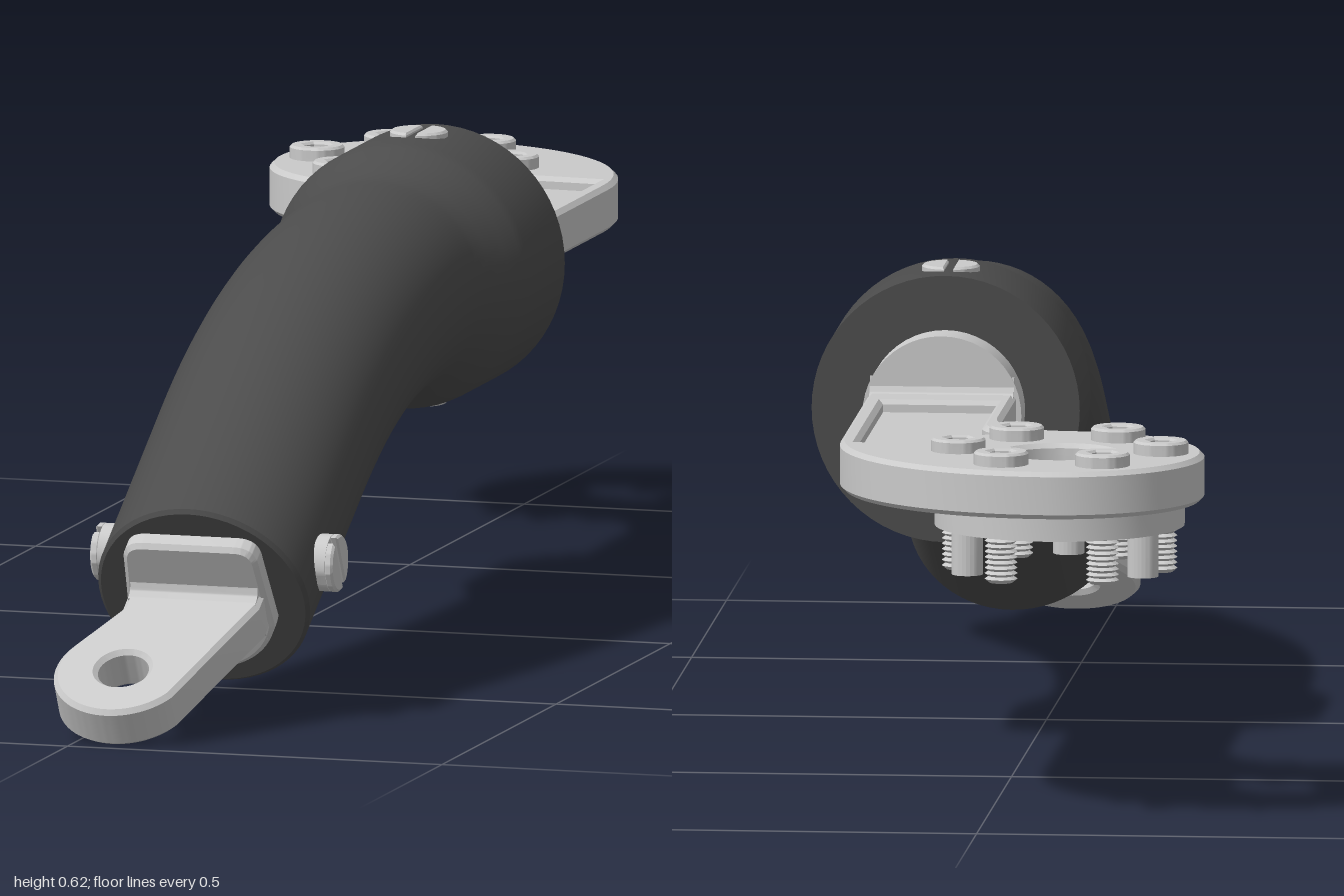
import * as THREE from 'three';
import { toCreasedNormals } from 'three/addons/utils/BufferGeometryUtils.js';

const AXIS_X = 0.105, AXIS_Y = 0.45;        // straight rear axis of the sleeve
const BEND_R = 0.989, BEND = Math.PI / 6;   // bend of the sleeve
const FLANGE = { x: -0.09, z: -0.815 };     // centre of the mounting disc

export function createModel() {
  const model = new THREE.Group();
  const rubber = new THREE.MeshStandardMaterial({ color: 0x4c4c4c });
  rubber.name = 'dark grey sleeve';
  const metal = new THREE.MeshStandardMaterial({ color: 0xcacaca });
  metal.name = 'light grey metal';

  const add = (parent, name, geo, mat = metal) => {
    const mesh = new THREE.Mesh(toCreasedNormals(geo, 0.5), mat);
    mesh.name = name;
    parent.add(mesh);
    return mesh;
  };
  const group = (parent, name) => {
    const g = new THREE.Group();
    g.name = name;
    parent.add(g);
    return g;
  };
  const extrude = (shape, depth, bevel = 0) => {
    const geo = new THREE.ExtrudeGeometry(shape, {
      depth: depth - 2 * bevel, bevelEnabled: bevel > 0, bevelSize: bevel,
      bevelThickness: bevel, bevelOffset: -bevel, bevelSegments: 1, curveSegments: 24,
    });
    return geo.translate(0, 0, bevel);
  };
  // Horizontal plate: shape (x, y) becomes (x, z), between y = low and y = high
  const plate = (shape, low, high, bevel = 0) =>
    extrude(shape, high - low, bevel).rotateX(Math.PI / 2).translate(0, high, 0);
  const circle = (x, y, r, Type = THREE.Path) => new Type().absarc(x, y, r, 0, Math.PI * 2, false);
  const polygon = (pts) => pts.map(([x, y]) => new THREE.Vector2(x, y));

  // Sleeve: a lathe along its length, then bent downward toward the front
  const arcLen = BEND_R * BEND, sleeveEnd = 0.813;
  const profile = [[0, -0.27], [0.172, -0.27], [0.172, -0.115], [0.168, -0.1], [0.158, -0.075],
    [0.146, -0.04], [0.141, -0.015]];
  for (let i = 0; i <= 20; i++) profile.push([0.14, arcLen * i / 20]);
  profile.push([0.14, sleeveEnd - 0.005], [0.135, sleeveEnd], [0, sleeveEnd]);
  const sleeve = new THREE.LatheGeometry(polygon(profile), 64);
  const pos = sleeve.attributes.position;
  for (let i = 0; i < pos.count; i++) {
    const s = pos.getY(i), up = -pos.getZ(i);
    const a = THREE.MathUtils.clamp(s / BEND_R, 0, BEND);
    const rest = s - a * BEND_R;
    pos.setXYZ(i, AXIS_X + pos.getX(i),
      AXIS_Y - BEND_R * (1 - Math.cos(a)) - rest * Math.sin(a) + up * Math.cos(a),
      BEND_R * Math.sin(a) + rest * Math.cos(a) + up * Math.sin(a));
  }
  add(model, 'sleeve', sleeve, rubber);

  // Concave fillet where a tongue leaves its plug, pointing along +z
  const fillet = (width, half, f) => {
    const s = new THREE.Shape();
    s.moveTo(-0.005, -half - f);
    s.lineTo(0, -half - f);
    s.quadraticCurveTo(0, -half, f, -half);
    s.lineTo(f, half);
    s.quadraticCurveTo(0, half, 0, half + f);
    s.lineTo(-0.005, half + f);
    return extrude(s, width).rotateY(-Math.PI / 2).translate(width / 2, 0, 0);
  };

  // Front fitting, tilted with the sleeve end
  const front = group(model, 'frontFitting');
  front.position.set(AXIS_X, 0.17, 0.75);
  front.rotation.x = BEND;
  const plugShape = new THREE.Shape();
  plugShape.absarc(0, 0, 0.1, Math.PI + 0.25, -0.25, false);
  plugShape.lineTo(0.09, 0.07);
  plugShape.quadraticCurveTo(0.09, 0.1, 0.06, 0.1);
  plugShape.lineTo(-0.06, 0.1);
  plugShape.quadraticCurveTo(-0.09, 0.1, -0.09, 0.07);
  add(front, 'frontPlug', extrude(plugShape, 0.05, 0.006).translate(0, 0, -0.025));
  add(front, 'frontFillet', fillet(0.17, 0.027, 0.02).translate(0, 0, 0.024));
  const tongue = new THREE.Shape();
  tongue.moveTo(-0.088, 0);
  tongue.lineTo(0.09, 0);
  tongue.lineTo(0.09, 0.045);
  tongue.absarc(-0.055, 0.183, 0.09, 0.55, 3.68, false);
  tongue.lineTo(-0.088, 0.06);
  tongue.holes.push(circle(-0.055, 0.183, 0.033));
  add(front, 'frontTongue', plate(tongue, -0.03, 0.027, 0.006));

  // Rear plug and fillet
  add(model, 'rearPlug', new THREE.CylinderGeometry(0.102, 0.102, 0.08, 48)
    .rotateX(Math.PI / 2).translate(AXIS_X, AXIS_Y, -0.285));
  add(model, 'rearFillet', fillet(0.185, 0.027, 0.025).rotateY(Math.PI)
    .translate(AXIS_X, 0.447, -0.323));

  // Rear arm with its round end and a pocket on both faces
  const pocket = (Type) => {
    const p = new Type();
    p.moveTo(0.03, -0.385);
    p.lineTo(0.175, -0.385);
    p.lineTo(0.175, -0.75);
    p.lineTo(0.085, -0.755);
    p.quadraticCurveTo(0.06, -0.69, -0.015, -0.648);
    p.quadraticCurveTo(0.028, -0.62, 0.03, -0.585);
    return p;
  };
  const arm = new THREE.Shape();
  arm.moveTo(0.2, -0.31);
  arm.lineTo(0.01, -0.31);
  arm.lineTo(0.01, -0.53);
  arm.quadraticCurveTo(0.005, -0.625, FLANGE.x, -0.63);
  arm.absarc(FLANGE.x, FLANGE.z, 0.185, Math.PI / 2, Math.PI * 1.5, false);
  arm.bezierCurveTo(0.07, -1.0, 0.2, -0.88, 0.2, -0.71);
  arm.holes.push(circle(FLANGE.x, FLANGE.z, 0.07), pocket(THREE.Path));
  add(model, 'rearArm', plate(arm, 0.417, 0.478, 0.006));
  add(model, 'armWeb', plate(pocket(THREE.Shape), 0.433, 0.462));

  // Raised ring under the mounting disc
  const ring = circle(FLANGE.x, FLANGE.z, 0.16, THREE.Shape);
  ring.holes.push(circle(FLANGE.x, FLANGE.z, 0.1));
  add(model, 'flangeRing', plate(ring, 0.385, 0.418));

  // Six socket screws with threaded ends
  const headShape = circle(0, 0, 0.035, THREE.Shape);
  const hex = [0, 1, 2, 3, 4, 5].map((i) => [0.018 * Math.cos(i * Math.PI / 3), 0.018 * Math.sin(i * Math.PI / 3)]);
  headShape.holes.push(new THREE.Path(polygon(hex)));
  const thread = [[0, 0.325], [0.015, 0.325]];
  for (let i = 0; i < 9; i++) thread.push([0.021, 0.33 + i * 0.007], [0.016, 0.3335 + i * 0.007]);
  thread.push([0.016, 0.4]);
  const onFlange = (g, a) =>
    g.position.set(FLANGE.x + 0.13 * Math.cos(a), 0, FLANGE.z + 0.13 * Math.sin(a));
  for (let i = 0; i < 6; i++) {
    const screw = group(model, 'flangeScrew');
    add(screw, 'socketHead', plate(headShape, 0.475, 0.495, 0.003));
    add(screw, 'thread', new THREE.LatheGeometry(polygon(thread), 20));
    onFlange(screw, i * Math.PI / 3);
  }

  // Three smooth locating pins between the screws
  for (let i = 0; i < 3; i++) {
    const pin = add(model, 'locatingPin', new THREE.CylinderGeometry(0.02, 0.02, 0.07, 24).translate(0, 0.363, 0));
    onFlange(pin, Math.PI / 2 + i * Math.PI * 2 / 3);
  }

  // Slotted screws: a base and two half heads, pointing along local +y
  const half = new THREE.Shape().absarc(0, 0, 0.037, 0.16, Math.PI - 0.16, false);
  const slottedScrew = (name, reach) => {
    const g = group(model, name);
    add(g, 'screwBase', new THREE.CylinderGeometry(0.037, 0.037, 0.03, 32).translate(0, reach - 0.025, 0));
    for (const turn of [0, Math.PI])
      add(g, 'screwHalfHead', plate(half, reach - 0.012, reach, 0.003).rotateY(turn));
    return g;
  };
  for (const side of [1, -1]) {
    const s = slottedScrew('sleeveScrew', 0.162);
    s.position.set(AXIS_X, 0.21, 0.68);
    s.rotation.set(BEND, 0, -side * Math.PI / 2);
    const c = slottedScrew('collarScrew', 0.177);
    c.position.set(AXIS_X, AXIS_Y, -0.195);
    c.rotation.set(side > 0 ? 0 : Math.PI, Math.PI / 2, 0);
  }
  return model;
}
